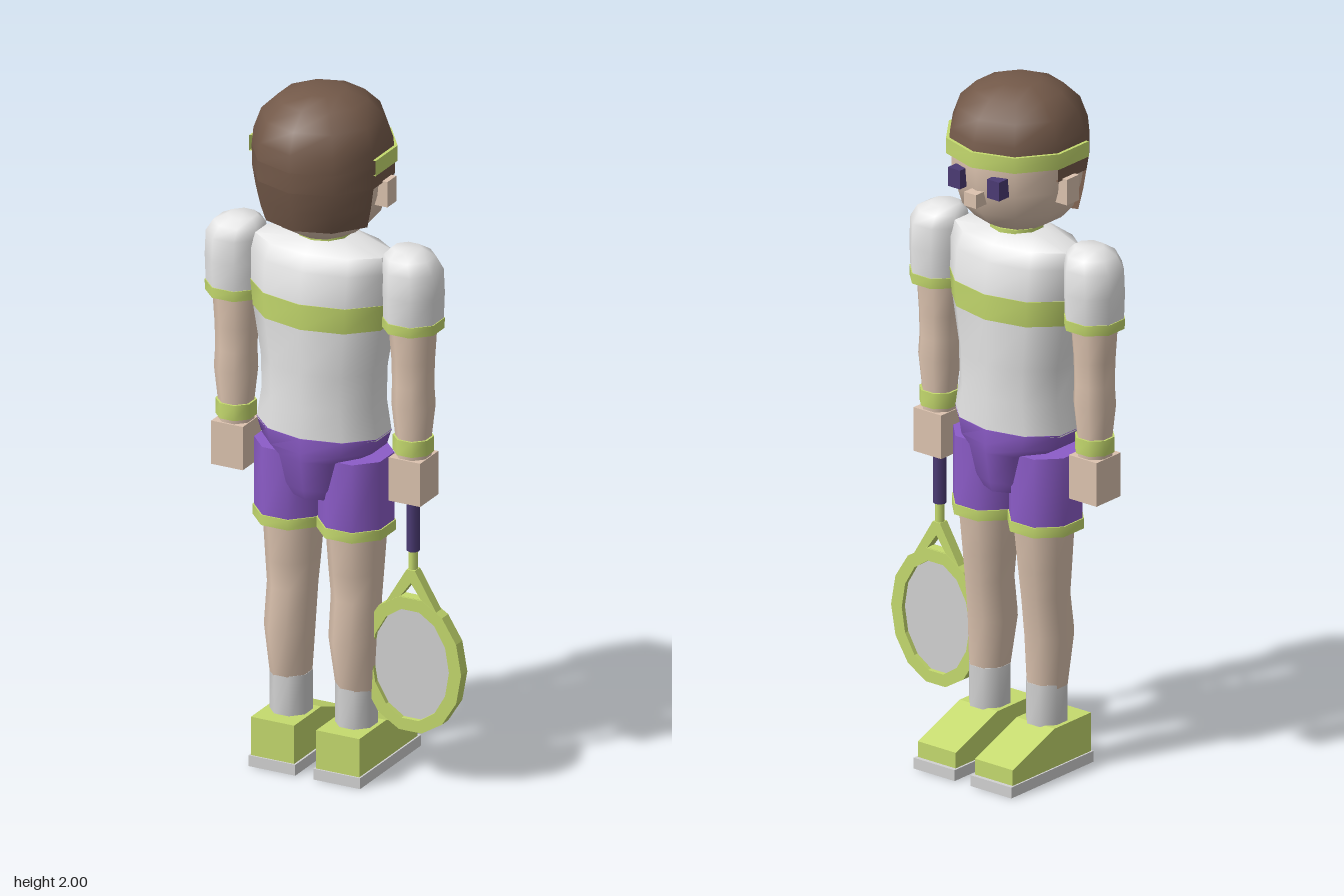
import * as THREE from 'three';
import { toCreasedNormals } from 'three/addons/utils/BufferGeometryUtils.js';

const material = (name, color, extra = {}) => {
  const m = new THREE.MeshStandardMaterial({ color, ...extra });
  m.name = name;
  return m;
};

export function createModel() {
  const skin = material('skin', 0xdcc3af);
  const brown = material('hair brown', 0x735949, { side: THREE.DoubleSide });
  const white = material('shirt white', 0xe6e6e6);
  const grey = material('light grey', 0xd2d2d2);
  const lime = material('lime', 0xc5da6e, { side: THREE.DoubleSide });
  const purple = material('purple', 0x8c5cc8);
  const dark = material('dark purple', 0x4b3b74);

  const model = new THREE.Group();
  model.name = 'tennisPlayer';
  const body = new THREE.Group();
  body.name = 'body';
  body.position.x = -0.042;
  model.add(body);

  const add = (name, geometry, mat, parent = body) => {
    const mesh = new THREE.Mesh(geometry, mat);
    mesh.name = name;
    parent.add(mesh);
    return mesh;
  };

  // Skin a stack of ellipses, bottom to top: [y, centreX, centreZ, radiusX, radiusZ]
  const loft = (name, rings, mat, sides = 10, start = 0, length = Math.PI * 2) => {
    const k = rings.length - 1;
    const g = new THREE.CylinderGeometry(1, 1, 1, sides, k, false, start, length);
    const p = g.attributes.position;
    for (let i = 0; i < p.count; i++) {
      const [y, cx, cz, rx, rz] = rings[Math.round((p.getY(i) + 0.5) * k)];
      p.setXYZ(i, cx + p.getX(i) * rx, y, cz + p.getZ(i) * rz);
    }
    return add(name, toCreasedNormals(g, 1.0), mat);
  };

  // Box given by its limits
  const box = (name, x0, x1, y0, y1, z0, z1, mat) => {
    const mesh = add(name, new THREE.BoxGeometry(x1 - x0, y1 - y0, z1 - z0), mat);
    mesh.position.set((x0 + x1) / 2, (y0 + y1) / 2, (z0 + z1) / 2);
    return mesh;
  };

  const round = (list, cz) => list.map(([y, r]) => [y, 0, cz, r, r]);
  const deg = Math.PI / 180;

  // Head, hair and headband share ten sides with a corner at the back
  loft('head', round([[1.58, 0.07], [1.61, 0.125], [1.65, 0.16], [1.72, 0.182],
    [1.8, 0.19], [1.86, 0.18]], 0.02), skin);
  loft('hairCap', round([[1.82, 0.199], [1.87, 0.194], [1.93, 0.172], [1.975, 0.125],
    [2, 0.063]], 0.02), brown);
  loft('hairSides', round([[1.76, 0.198], [1.82, 0.199]], 0.02), brown, 6, -108 * deg, 216 * deg);
  loft('hairBack', round([[1.64, 0.174], [1.7, 0.188], [1.76, 0.198]], 0.02), brown, 4, -72 * deg, 144 * deg);
  loft('headband', round([[1.8, 0.206], [1.845, 0.206]], 0.02), lime, 6, 72 * deg, 216 * deg);
  box('nose', -0.021, 0.021, 1.685, 1.725, -0.19, -0.14, skin);

  // Neck and collar
  loft('neck', round([[1.52, 0.06], [1.6, 0.06]], 0.012), skin);
  loft('collar', round([[1.56, 0.077], [1.585, 0.077]], 0.012), lime);

  // Shirt in three bands
  const cz = 0.015;
  loft('shirtBottom', [[1.005, 0, cz, 0.196, 0.138], [1.1, 0, cz, 0.18, 0.137], [1.2, 0, cz, 0.183, 0.138],
    [1.335, 0, cz, 0.207, 0.142]], white);
  loft('shirtStripe', [[1.335, 0, cz, 0.208, 0.143], [1.41, 0, cz, 0.216, 0.146]], lime);
  loft('shirtTop', [[1.41, 0, cz, 0.214, 0.144], [1.5, 0, cz, 0.217, 0.132], [1.545, 0, cz, 0.206, 0.108],
    [1.575, 0, cz, 0.08, 0.078]], white);

  // Hips of the shorts
  loft('shortsHips', [[0.82, 0, cz, 0.08, 0.11], [0.85, 0, cz, 0.11, 0.122], [0.94, 0, cz, 0.135, 0.138],
    [0.965, 0, cz, 0.18, 0.14], [1.01, 0, cz, 0.196, 0.14]], purple);

  const shoeShape = new THREE.Shape([[-0.125, 0.03], [0.21, 0.03], [0.21, 0.078],
    [0.03, 0.145], [-0.125, 0.145]].map(([a, b]) => new THREE.Vector2(a, b)));

  for (const s of [-1, 1]) {
    const side = s > 0 ? 'left' : 'right';
    const pair = (a, b) => [Math.min(s * a, s * b), Math.max(s * a, s * b)];

    // Face details
    box(side + 'Eye', ...pair(0.048, 0.091), 1.72, 1.775, -0.175, -0.13, dark);
    box(side + 'Ear', ...pair(0.16, 0.204), 1.69, 1.765, -0.022, 0.03, skin);

    // Arm: eight-sided sleeve with a flat side outwards
    const arm = (name, list, mat) => loft(name, list.map(([y, x, r]) => [y, s * x, 0.012, r, r]), mat, 8, 22.5 * deg);
    arm(side + 'Sleeve', [[1.37, 0.273, 0.085], [1.45, 0.273, 0.088], [1.52, 0.272, 0.086],
      [1.555, 0.264, 0.072], [1.575, 0.255, 0.042]], white);
    arm(side + 'SleeveCuff', [[1.345, 0.273, 0.087], [1.375, 0.273, 0.088]], lime);
    arm(side + 'Arm', [[0.96, 0.275, 0.05], [1.03, 0.275, 0.051], [1.12, 0.275, 0.061], [1.18, 0.274, 0.058],
      [1.25, 0.274, 0.06], [1.36, 0.273, 0.068]], skin);
    arm(side + 'Wristband', [[0.98, 0.275, 0.057], [1.025, 0.275, 0.057]], lime);
    box(side + 'Hand', ...pair(0.226, 0.324), 0.84, 0.968, -0.04, 0.064, skin);

    // Leg
    const leg = (name, list, mat) => loft(name, list.map(([y, x, z, rx, rz]) => [y, s * x, z, rx, rz]), mat, 8, 22.5 * deg);
    leg(side + 'ShortsLeg', [[0.735, 0.099, 0.015, 0.104, 0.108], [0.945, 0.099, 0.015, 0.104, 0.108]], purple);
    leg(side + 'ShortsCuff', [[0.715, 0.099, 0.015, 0.108, 0.112], [0.745, 0.099, 0.015, 0.108, 0.112]], lime);
    leg(side + 'Leg', [[0.25, 0.102, 0.017, 0.058, 0.06], [0.4, 0.1, 0.028, 0.069, 0.08], [0.52, 0.099, 0.013, 0.069, 0.078],
      [0.6, 0.098, 0.012, 0.075, 0.086], [0.74, 0.097, 0.01, 0.084, 0.1]], skin);
    leg(side + 'Sock', [[0.12, 0.101, 0.017, 0.059, 0.062], [0.262, 0.101, 0.017, 0.059, 0.062]], grey);

    // Shoe: side profile extruded across the foot, toes towards -z
    const shoe = add(side + 'Shoe', new THREE.ExtrudeGeometry(shoeShape, { depth: 0.134, bevelEnabled: false }), lime);
    shoe.rotation.y = Math.PI / 2;
    shoe.position.x = s * 0.101 - 0.067;
    box(side + 'Sole', ...pair(0.028, 0.173), 0, 0.032, -0.222, 0.13, grey);
  }

  // Racket hanging from the left hand
  const racket = new THREE.Group();
  racket.name = 'racket';
  racket.position.set(0.233, 0, 0.013);
  model.add(racket);

  const oval = (rx, ry) => Array.from({ length: 14 }, (_, i) => {
    const a = (i / 14) * Math.PI * 2;
    return new THREE.Vector2(Math.cos(a) * rx, 0.351 + Math.sin(a) * ry);
  });
  const plate = (name, outline, hole, depth, mat) => {
    const shape = new THREE.Shape(outline);
    if (hole) shape.holes.push(new THREE.Path(hole));
    const g = new THREE.ExtrudeGeometry(shape, { depth, bevelEnabled: false });
    g.translate(0, 0, -depth / 2);
    return add(name, g, mat, racket);
  };
  const v = (list) => list.map(([a, b]) => new THREE.Vector2(a, b));

  plate('racketFrame', oval(0.158, 0.201), oval(0.12, 0.165), 0.036, lime);
  plate('racketStrings', oval(0.124, 0.169), null, 0.009, grey);
  plate('racketThroat', v([[-0.085, 0.51], [0.085, 0.51], [0.013, 0.63], [-0.013, 0.63]]),
    v([[-0.032, 0.548], [0.032, 0.548], [0, 0.592]]), 0.03, lime);
  const shaft = add('racketShaft', new THREE.CylinderGeometry(0.013, 0.013, 0.08, 8), lime, racket);
  shaft.position.y = 0.655;
  const handle = add('racketHandle', new THREE.CylinderGeometry(0.019, 0.019, 0.17, 8), dark, racket);
  handle.position.y = 0.77;

  return model;
}
